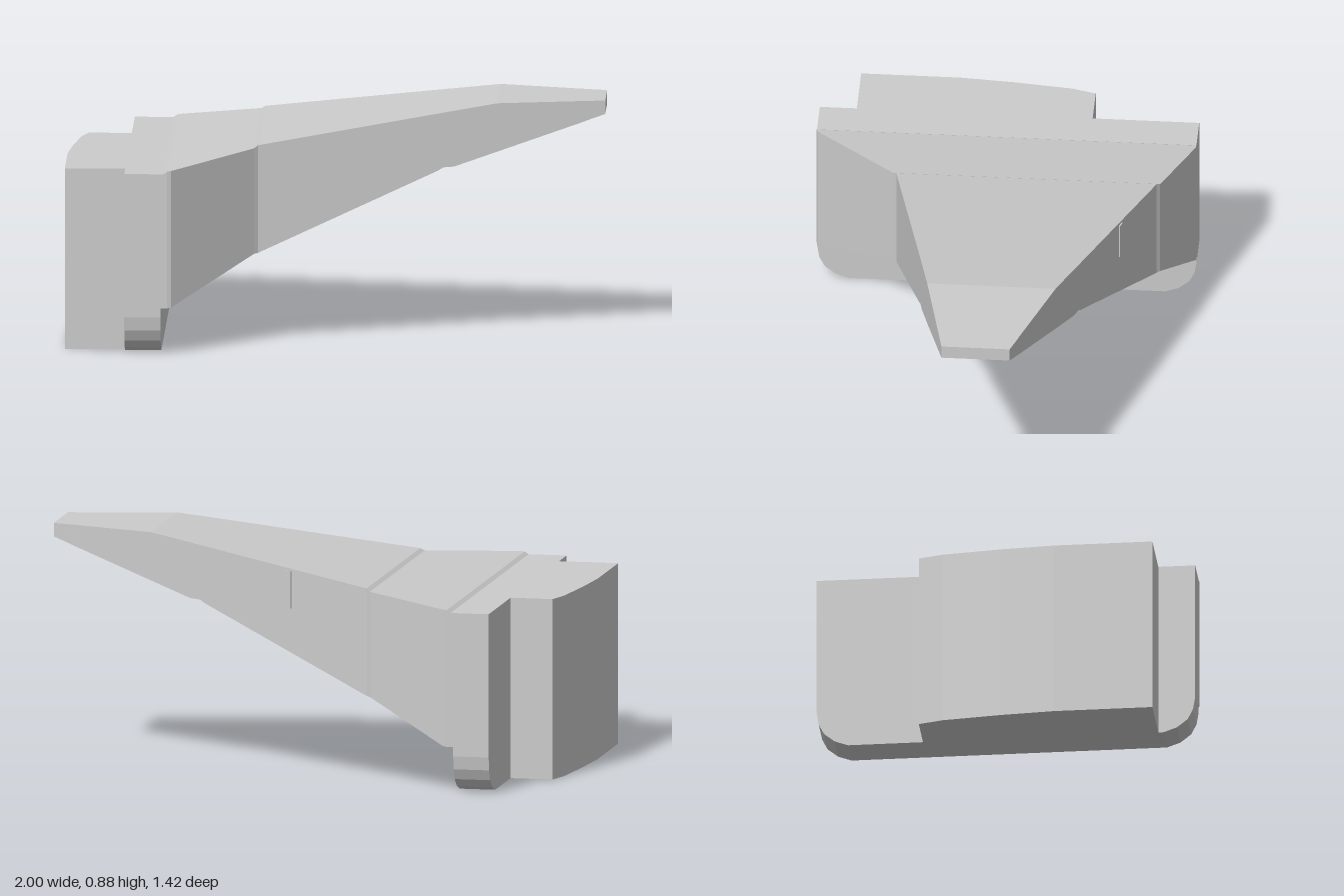
import * as THREE from 'three';

const material = new THREE.MeshStandardMaterial({ color: 0xcccccc, flatShading: true, side: THREE.DoubleSide });

function addMesh(group, geometry, name) {
  const mesh = new THREE.Mesh(geometry, material);
  mesh.name = name;
  group.add(mesh);
  return mesh;
}

function extrude(points, depth) {
  const shape = new THREE.Shape(points.map(([x, y]) => new THREE.Vector2(x, y)));
  return new THREE.ExtrudeGeometry(shape, { depth, bevelEnabled: false });
}

// Tapered channel, open underneath.
// Each station: x, outer front z, outer back z, top y, rim y, inner front z, inner back z, ceiling y
function armGeometry() {
  const stations = [
    [-0.64, 0.708, -0.708, 0.680, 0.175, 0.60, -0.62, 0.59],
    [-0.63, 0.708, -0.708, 0.680, 0.175, 0.60, -0.62, 0.59],
    [-0.615, 0.708, -0.708, 0.690, 0.175, 0.59, -0.61, 0.59],
    [-0.60, 0.704, -0.708, 0.692, 0.178, 0.585, -0.605, 0.59],
    [-0.30, 0.400, -0.597, 0.732, 0.335, 0.29, -0.505, 0.60],
    [-0.285, 0.387, -0.585, 0.742, 0.337, 0.285, -0.495, 0.61],
    [0.38, 0.251, -0.350, 0.843, 0.628, 0.18, -0.27, 0.70],
    [0.40, 0.247, -0.343, 0.846, 0.640, 0.17, -0.26, 0.70],
    [0.44, 0.239, -0.328, 0.852, 0.642, 0.16, -0.245, 0.71],
    [0.60, 0.207, -0.272, 0.876, 0.694, 0.12, -0.17, 0.76],
    [0.92, 0.141, -0.158, 0.876, 0.798, 0.03, 0.01, 0.81],
    [0.93, 0.139, -0.155, 0.876, 0.802, 0.02, 0.02, 0.802],
    [1.00, 0.125, -0.130, 0.876, 0.825, 0.00, 0.00, 0.825],
  ];
  const rings = stations.map(([x, front, back, top, rim, inFront, inBack, ceiling]) => [
    [x, top, front], [x, top, back], [x, rim, back], [x, rim, inBack],
    [x, ceiling, inBack], [x, ceiling, inFront], [x, rim, inFront], [x, rim, front],
  ]);
  const positions = [];
  const quad = (a, b, c, d) => positions.push(...a, ...b, ...c, ...a, ...c, ...d);
  for (let i = 0; i < rings.length - 1; i++) {
    for (let j = 0; j < 8; j++) {
      const k = (j + 1) % 8;
      quad(rings[i][j], rings[i + 1][j], rings[i + 1][k], rings[i][k]);
    }
  }
  const end = rings[rings.length - 1];
  quad(end[0], end[7], end[2], end[1]);
  const geometry = new THREE.BufferGeometry();
  geometry.setAttribute('position', new THREE.Float32BufferAttribute(positions, 3));
  geometry.computeVertexNormals();
  return geometry;
}

export function createModel() {
  const group = new THREE.Group();
  group.name = 'taperedBracket';

  // Root block with rounded lower corners
  const corner = [[0.59, 0], [0.64, 0.018], [0.68, 0.05], [0.70, 0.09], [0.708, 0.14], [0.708, 0.68]];
  const mirrored = corner.map(([x, y]) => [-x, y]).reverse();
  const block = extrude([...corner, ...mirrored], 0.135);
  block.rotateY(Math.PI / 2);
  block.translate(-0.775, 0, 0);
  addMesh(group, block, 'rootBlock');

  // Offset tongue with a slanted outer end, outline in x and -z
  const tongue = extrude([
    [-0.77, -0.57], [-0.77, 0.31], [-0.935, 0.31], [-0.96, 0.22], [-0.985, 0.0], [-1, -0.2], [-1, -0.57],
  ], 0.68);
  tongue.rotateX(-Math.PI / 2);
  addMesh(group, tongue, 'mountingTongue');

  addMesh(group, armGeometry(), 'hollowArm');

  // Small upright seam on the back wall
  const seam = addMesh(group, new THREE.BoxGeometry(0.025, 0.14, 0.012), 'backSeam');
  seam.position.set(0.035, 0.71, -0.471);
  seam.rotation.y = -Math.atan2(0.46, 1.3);

  return group;
}
